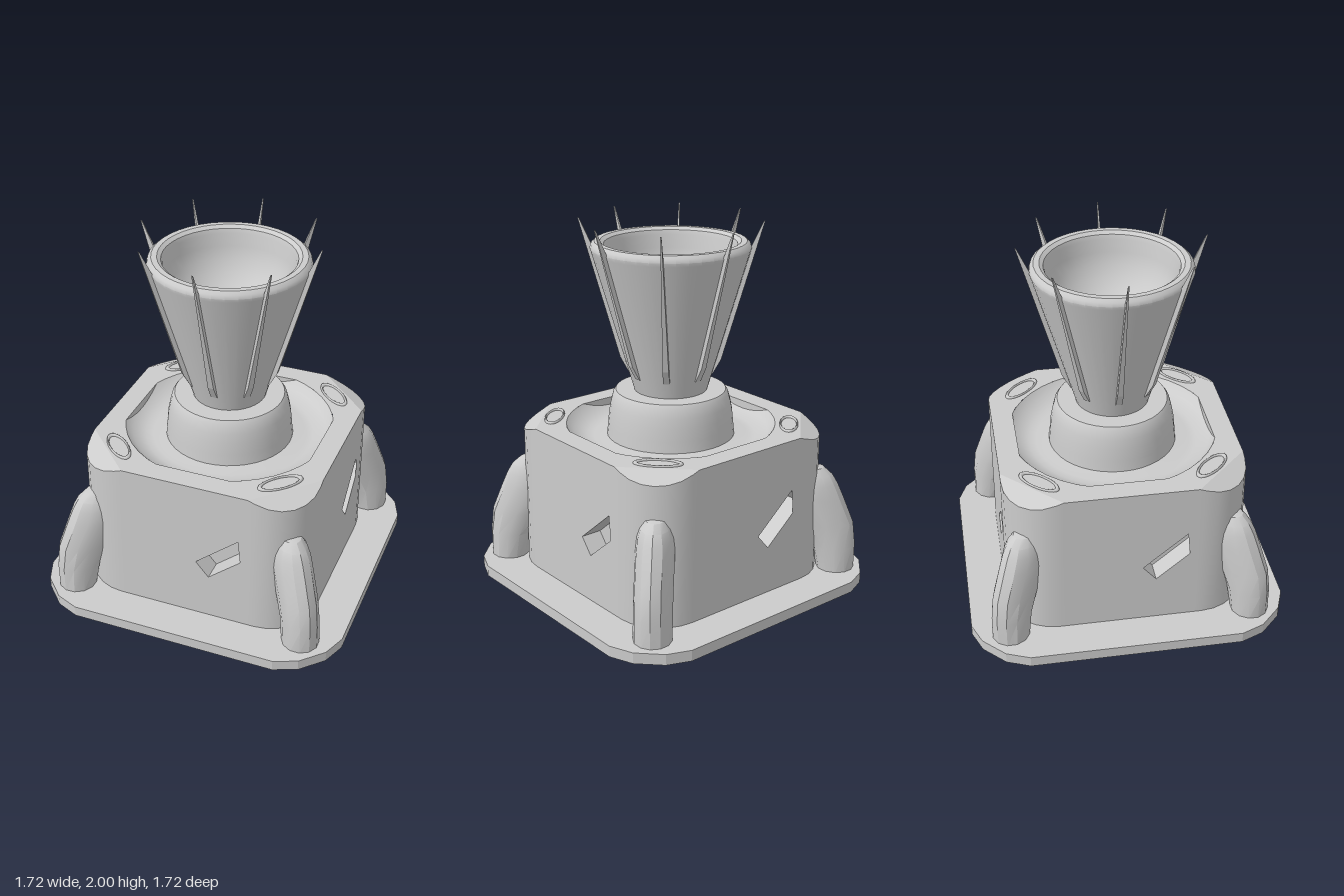
import * as THREE from 'three';
import { toCreasedNormals } from 'three/addons/utils/BufferGeometryUtils.js';
import { ConvexGeometry } from 'three/addons/geometries/ConvexGeometry.js';

const grey = new THREE.MeshStandardMaterial({ color: 0xcccccc });
const greyDouble = new THREE.MeshStandardMaterial({ color: 0xcccccc, side: THREE.DoubleSide });

function part(name, geometry, parent, material = grey) {
  const mesh = new THREE.Mesh(geometry, material);
  mesh.name = name;
  parent.add(mesh);
  return mesh;
}

// Skin between rows of [x, y, z] points; rows run upward, points left to right seen from outside
function loft(rows, crease = 0.6) {
  const n = rows[0].length;
  const index = [];
  for (let r = 0; r < rows.length - 1; r++) {
    for (let i = 0; i < n - 1; i++) {
      const a = r * n + i, b = a + n;
      index.push(a, a + 1, b + 1, a, b + 1, b);
    }
  }
  const geo = new THREE.BufferGeometry();
  geo.setAttribute('position', new THREE.Float32BufferAttribute(rows.flat(2), 3));
  geo.setIndex(index);
  return toCreasedNormals(geo, crease);
}

// Lathe from [radius, y] points
function lathe(points, segments = 40, crease = 0.6) {
  const geo = new THREE.LatheGeometry(points.map(([r, y]) => new THREE.Vector2(r, y)), segments);
  return toCreasedNormals(geo, crease);
}

// Closed shape from one corner's points turned around four times
function fourCornerShape(corner) {
  const pts = [];
  for (let k = 0; k < 4; k++) {
    for (const [x, y] of corner) {
      pts.push(new THREE.Vector2(x, y).rotateAround(new THREE.Vector2(), k * Math.PI / 2));
    }
  }
  return new THREE.Shape(pts);
}

// Slanted rectangular outline, side = 1 or -1
function slotPoints(side) {
  const centre = new THREE.Vector2(0.215, 0.465);
  return [[-0.155, -0.055], [0.155, -0.055], [0.155, 0.055], [-0.155, 0.055]].map(([u, v]) => {
    const p = new THREE.Vector2(u, v).rotateAround(new THREE.Vector2(), 0.7).add(centre);
    p.x *= side;
    return p;
  });
}

export function createModel() {
  const model = new THREE.Group();
  model.name = 'nozzleOnPedestal';

  // Base plate
  const plate = new THREE.ExtrudeGeometry(
    fourCornerShape([[0.86, 0.57], [0.81, 0.695], [0.695, 0.81], [0.57, 0.86]]),
    { depth: 0.06, bevelEnabled: false });
  plate.rotateX(-Math.PI / 2);
  part('basePlate', plate, model);

  // Housing deck with a round opening
  const deckShape = fourCornerShape([[0.65, 0.35], [0.35, 0.65]]);
  deckShape.holes.push(new THREE.Path().absarc(0, 0, 0.57, 0, Math.PI * 2, true));
  const deck = new THREE.ShapeGeometry(deckShape, 20);
  deck.rotateX(-Math.PI / 2);
  part('housingDeck', deck, model).position.y = 0.89;

  // Wall panel with two slanted slots
  const wallShape = new THREE.Shape();
  wallShape.moveTo(-0.35, 0.06).lineTo(0.35, 0.06).lineTo(0.35, 0.89).lineTo(-0.35, 0.89).closePath();
  for (const side of [1, -1]) wallShape.holes.push(new THREE.Path(slotPoints(side)));
  const wall = new THREE.ExtrudeGeometry(wallShape, { depth: 0.12, bevelEnabled: false });
  wall.translate(0, 0, 0.53);
  const slotFloor = new THREE.PlaneGeometry(0.8, 0.45);
  slotFloor.translate(0, 0.465, 0.535);

  // Housing corner: rounded wall with a slanted cut at the top
  const outline = [[0.35, 0.65]];
  for (let i = 0; i <= 6; i++) {
    const t = i / 6 * Math.PI / 2;
    outline.push([0.39 + 0.26 * Math.sin(t), 0.39 + 0.26 * Math.cos(t)]);
  }
  outline.push([0.65, 0.35]);
  const corner = loft([
    outline.map(([x, z]) => [x, 0.06, z]),
    outline.map(([x, z]) => [x, 0.89 - (x + z - 1) * 0.36, z]),
    outline.map(([x, z]) => [x - (x + z - 1) / 2, 0.89, z - (x + z - 1) / 2]),
  ]);

  // Buttress leg: [y, distance from axis, half depth, half width]
  const legSections = [
    [0.05, 0.925, 0.103, 0.1], [0.2, 0.91, 0.12, 0.1], [0.33, 0.865, 0.15, 0.1],
    [0.48, 0.795, 0.16, 0.1], [0.56, 0.775, 0.145, 0.095], [0.61, 0.77, 0.12, 0.08],
    [0.65, 0.765, 0.08, 0.055], [0.67, 0.76, 0.001, 0.001],
  ];
  const leg = loft(legSections.map(([y, d, a, b]) => {
    const ring = [];
    for (let i = 0; i <= 12; i++) {
      const t = i / 12 * Math.PI * 2;
      ring.push([b * Math.sin(t), y, d + a * Math.cos(t)]);
    }
    return ring;
  }), 0.5);

  // Oval ring on the deck
  const oval = new THREE.TorusGeometry(0.11, 0.012, 8, 28);
  oval.rotateX(Math.PI / 2);
  oval.scale(1.05, 0.9, 0.42);

  for (let k = 0; k < 4; k++) {
    const side = new THREE.Group();
    side.name = 'housingSide';
    side.rotation.y = k * Math.PI / 2;
    model.add(side);
    part('slottedWall', wall, side);
    part('slotFloor', slotFloor, side);
    part('housingCorner', corner, side);
    part('buttressLeg', leg, side).rotation.y = Math.PI / 4;
    const ring = part('deckRing', oval, side);
    ring.position.set(0.455, 0.89, 0.455);
    ring.rotation.y = Math.PI / 4;
  }

  // Round trough in the deck, and the neck rising out of it
  part('deckTrough', lathe([[0.33, 0.83], [0.42, 0.82], [0.46, 0.82], [0.53, 0.845], [0.57, 0.89]], 48),
    model, greyDouble);
  part('neck', lathe([
    [0.35, 0.81], [0.342, 0.89], [0.335, 0.96], [0.325, 1.01], [0.312, 1.06], [0.298, 1.08], [0, 1.08],
  ]), model, greyDouble);

  // Flared nozzle with rolled rim and bowl interior
  const nozzle = [[0.195, 1.07], [0.418, 1.835], [0.424, 1.855], [0.418, 1.875], [0.4, 1.89], [0.37, 1.89], [0.35, 1.875]];
  for (let i = 0; i <= 8; i++) {
    const t = i / 8 * Math.PI / 2;
    nozzle.push([0.342 * Math.cos(t), 1.85 - 0.36 * Math.sin(t)]);
  }
  part('nozzle', lathe(nozzle), model, greyDouble);

  // Eight tapering fins around the nozzle: [radius, y, half thickness]
  const finPoints = [
    [0.2, 1.17, 0.018], [0.228, 1.17, 0.018], [0.272, 1.25, 0.016],
    [0.4, 1.82, 0.007], [0.49, 2, 0.003], [0.482, 1.995, 0.003],
  ].flatMap(([r, y, h]) => [new THREE.Vector3(-h, y, r), new THREE.Vector3(h, y, r)]);
  const fin = new ConvexGeometry(finPoints);
  for (let k = 0; k < 8; k++) part('nozzleFin', fin, model).rotation.y = k * Math.PI / 4;

  return model;
}
